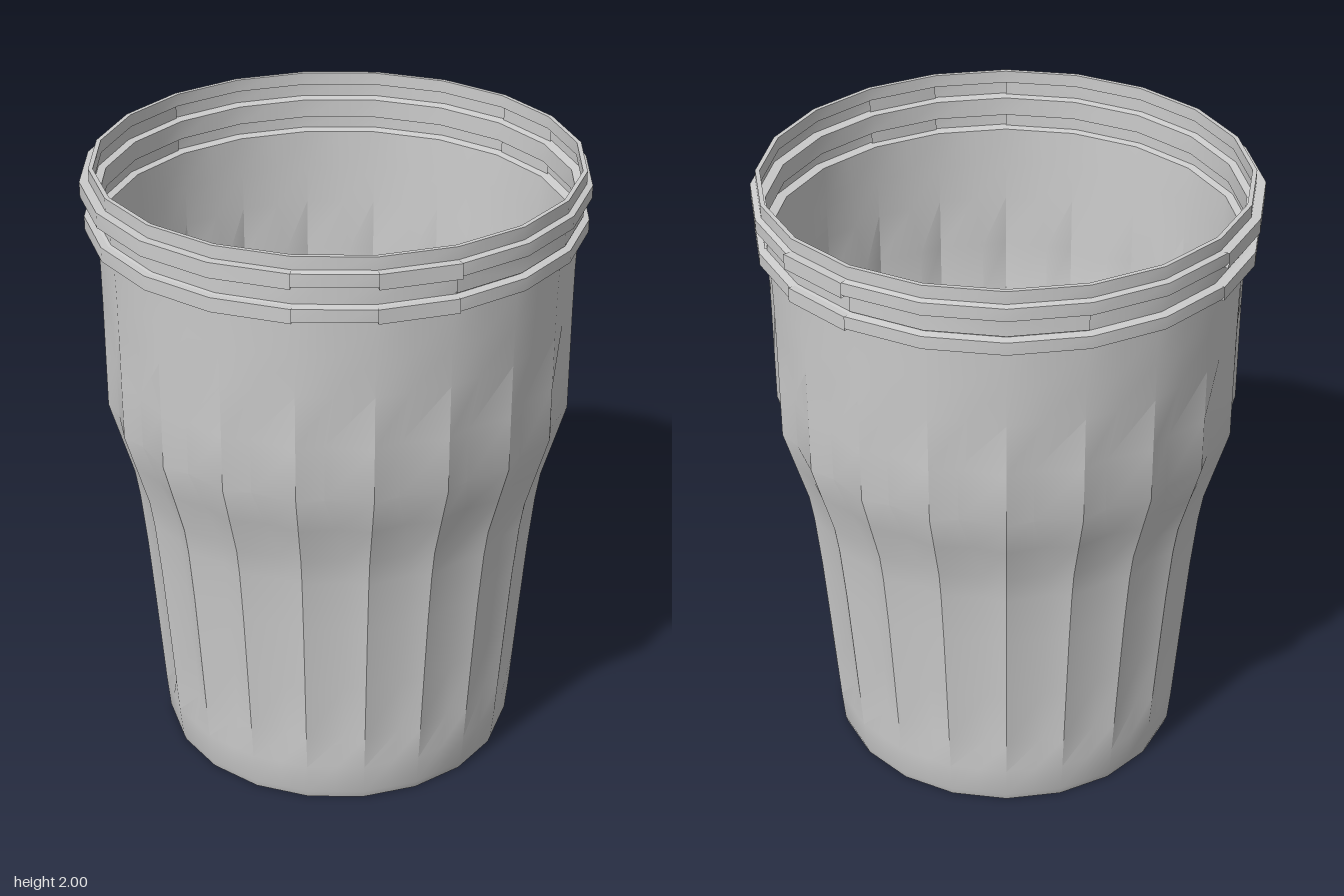
import * as THREE from 'three';
import { toCreasedNormals } from 'three/addons/utils/BufferGeometryUtils.js';

const SIDES = 20, STEP = (Math.PI * 2) / SIDES, THICK = 0.014;
const material = new THREE.MeshStandardMaterial({ color: 0xcccccc, side: THREE.DoubleSide });

// Outer profile [radius, height]
const bodyRows = [
  [0.57, 0], [0.578, 0.025], [0.588, 0.13], [0.597, 0.25], [0.612, 0.45], [0.63, 0.68],
  [0.648, 0.86], [0.662, 0.95], [0.7, 1.08], [0.735, 1.2], [0.735, 1.38], [0.735, 1.55],
  [0.736, 1.68], [0.74, 1.8],
];
const rimRows = [
  [0.77, 1.805], [0.77, 1.845], [0.745, 1.85], [0.745, 1.91],
  [0.775, 1.915], [0.775, 1.955], [0.757, 1.96], [0.757, 2],
];

// Flutes fade in above the base and out below the rim; the valley wanders sideways
const flute = (y) => THREE.MathUtils.smoothstep(y, 0.1, 0.25) * (1 - THREE.MathUtils.smoothstep(y, 1.36, 1.62));
const sway = (y) => 0.045 * (1 - 2 * THREE.MathUtils.smoothstep(y, 0.93, 1.22));

function shellGeometry() {
  const outer = [...bodyRows, ...rimRows];
  const inner = outer.map(([r, y]) => [r - THICK, Math.max(y, 0.012)]).reverse();
  const rows = [[0, 0], ...outer, ...inner, [0, 0.012]];
  const cols = SIDES * 2, pos = [], index = [];
  for (const [r, y] of rows) {
    for (let j = 0; j < cols; j++) {
      let a = (j * STEP) / 2, rad = r;
      if (j % 2) {
        const f = r > 0 ? flute(y) : 0;
        rad = r * Math.cos(STEP / 2) - 0.016 * f;
        a += sway(y) * f;
      }
      pos.push(Math.sin(a) * rad, y, Math.cos(a) * rad);
    }
  }
  for (let i = 0; i < rows.length - 1; i++) {
    for (let j = 0; j < cols; j++) {
      const k = (j + 1) % cols;
      const a = i * cols + j, b = i * cols + k, c = b + cols, d = a + cols;
      if (i > 0) index.push(a, b, c);
      else index.push(a, b + cols, d);
      if (i > 0 && i < rows.length - 2) index.push(a, c, d);
    }
  }
  const g = new THREE.BufferGeometry();
  g.setAttribute('position', new THREE.Float32BufferAttribute(pos, 3));
  g.setIndex(index);
  return toCreasedNormals(g, 0.42);
}

// Curved strip around the rim, from one side number to another
function strip(name, from, to, r0, r1, y0, y1) {
  const profile = [[r0, y0], [r1, y0], [r1, y1], [r0, y1], [r0, y0]].map(([r, y]) => new THREE.Vector2(r, y));
  const g = new THREE.LatheGeometry(profile, to - from, from * STEP, (to - from) * STEP);
  const mesh = new THREE.Mesh(toCreasedNormals(g.toNonIndexed(), 0.42), material);
  mesh.name = name;
  return mesh;
}

export function createModel() {
  const group = new THREE.Group();
  group.name = 'bin';

  const shell = new THREE.Mesh(shellGeometry(), material);
  shell.name = 'flutedShell';
  group.add(shell);

  // Raised lengths of the two rim bands
  for (const [from, to] of [[10, 17], [18, 19], [4, 5]]) {
    group.add(strip('upperBand', from, to, 0.755, 0.786, 1.912, 1.96));
    group.add(strip('lowerBand', from, to, 0.75, 0.777, 1.803, 1.848));
  }
  // Panels set in the groove between the bands
  for (const [from, to] of [[-1, 3], [5, 8]]) {
    group.add(strip('groovePanel', from, to, 0.735, 0.752, 1.855, 1.905));
  }
  return group;
}
